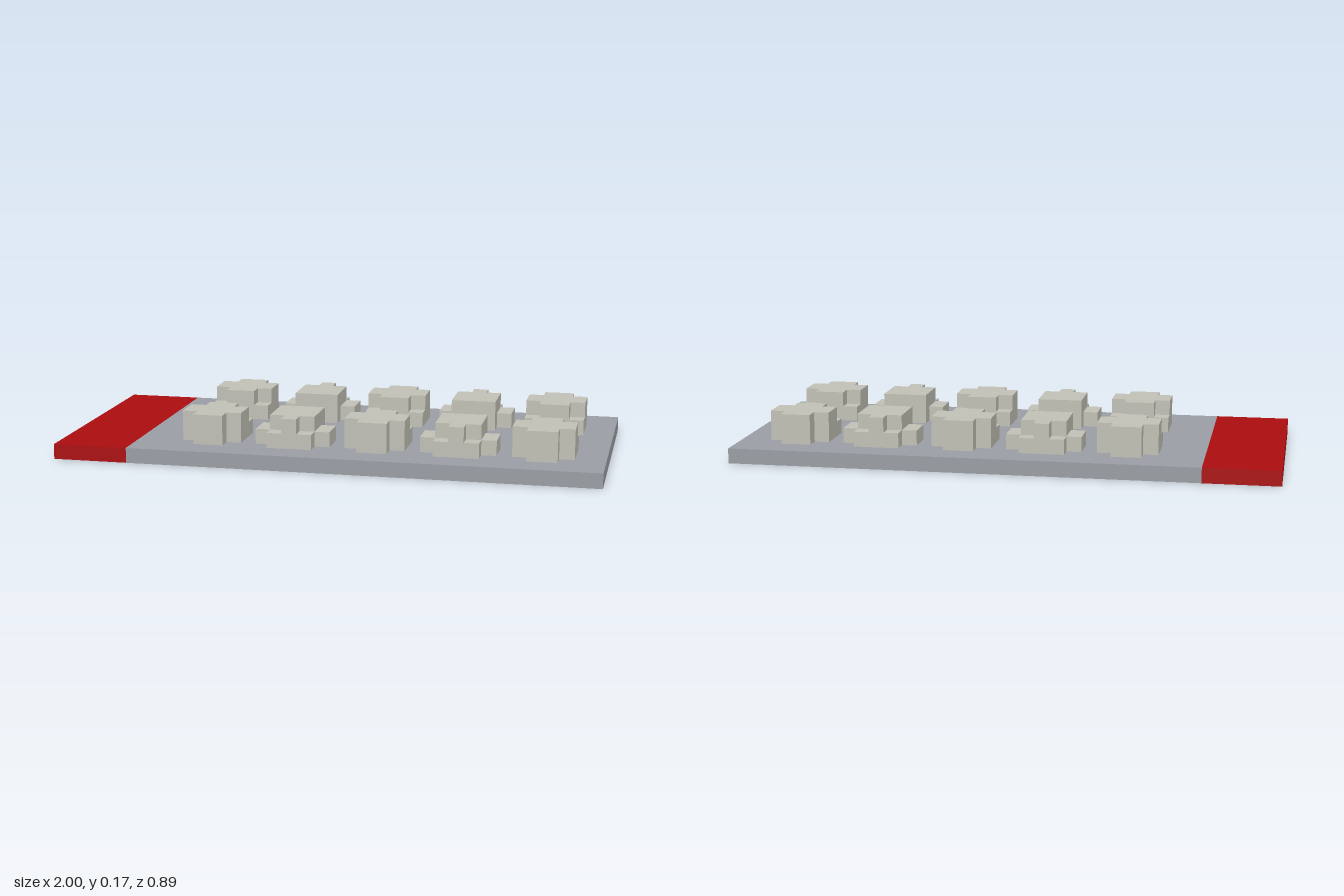
import * as THREE from 'three';

const U = 1 / 18; // grid unit of the model

const material = (name, color) => {
  const m = new THREE.MeshStandardMaterial({ color });
  m.name = name;
  return m;
};

// Slab from the +x half of an outline in (x, z) grid units, mirrored to -x.
function slab(half, y, mat, name) {
  const mirrored = half.slice().reverse().map(([x, z]) => [-x, z]);
  const points = [...half, ...mirrored].map(([x, z]) => new THREE.Vector2(x * U, -z * U));
  const geo = new THREE.ExtrudeGeometry(new THREE.Shape(points), { depth: U, bevelEnabled: false });
  geo.rotateX(-Math.PI / 2);
  geo.translate(0, y * U, 0);
  const mesh = new THREE.Mesh(geo, mat);
  mesh.name = name;
  return mesh;
}

// Half outlines run from the inner side (-z) to the outer side (+z).
const OUTLINES = {
  crossBlock: {
    lower: [[2, -2], [2, 1], [1, 1], [1, 2]],
    upper: [[1, -2], [1, -1], [2, -1], [2, 1], [1, 1], [1, 2]],
  },
  armedBlock: {
    lower: [[1.5, -2], [1.5, -1], [2.5, -1], [2.5, 1], [1.5, 1], [1.5, 2]],
    upper: [[1.5, -2], [1.5, 1], [0.5, 1], [0.5, 2]],
  },
};

export function createModel() {
  const model = new THREE.Group();
  model.name = 'boardWithBlocks';
  const grey = material('slate grey', 0x9a9ea4);
  const red = material('dark red', 0xab0d0e);
  const stone = material('pale stone', 0xc1c0b6);

  // Base board: long grey part and red end
  const addBase = (name, x0, x1, mat) => {
    const mesh = new THREE.Mesh(new THREE.BoxGeometry((x1 - x0) * U, U, 16 * U), mat);
    mesh.position.set(((x0 + x1) / 2) * U, U / 2, 0);
    mesh.name = name;
    model.add(mesh);
  };
  addBase('baseBoard', -13, 18, grey);
  addBase('redEnd', -18, -13, red);

  // Two rows of five blocks, alternating kinds; the back row is turned around
  for (const side of [1, -1]) {
    for (let i = 0; i < 5; i++) {
      const kind = i % 2 ? 'armedBlock' : 'crossBlock';
      const block = new THREE.Group();
      block.name = kind;
      block.add(slab(OUTLINES[kind].lower, 1, stone, 'lowerLayer'));
      block.add(slab(OUTLINES[kind].upper, 2, stone, 'upperLayer'));
      block.position.set((-8 + 5.5 * i) * U, 0, side * 4 * U);
      block.rotation.y = side > 0 ? 0 : Math.PI;
      model.add(block);
    }
  }
  return model;
}
